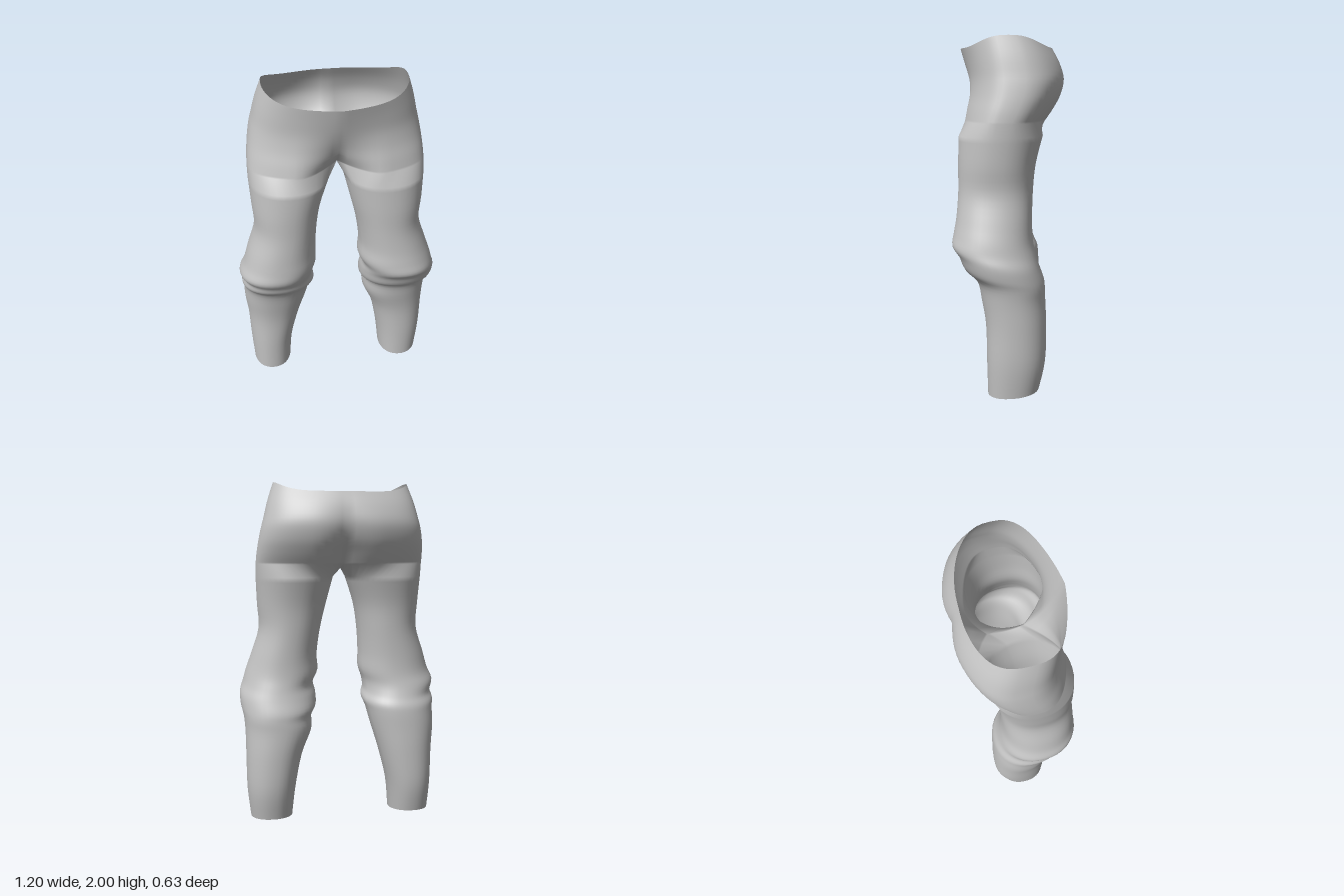
import * as THREE from 'three';
import { mergeVertices } from 'three/addons/utils/BufferGeometryUtils.js';

const K = 36, N = 46;            // points around the outside, and around a whole leg
const CENTRE = -0.008;           // x of the middle seam
const OPEN = THREE.MathUtils.degToRad(70);

// hips, top to crotch: y, half width, front z, back z, front dip, back dip at the seam
const hips = [
  [1.94, 0.392, 0.265, -0.25, -0.02, 0.004],
  [1.86, 0.43, 0.25, -0.295, -0.012, 0.015],
  [1.77, 0.46, 0.24, -0.322, 0.008, 0.035],
  [1.68, 0.48, 0.247, -0.303, 0.055, 0.055],
  [1.6, 0.492, 0.265, -0.26, 0.12, 0.085],
  [1.535, 0.497, 0.277, -0.215, 0.2, 0.1],
];

// legs, thigh to hem: y, outer x, inner x, front z, back z, tilt (front up)
const rightLeg = [
  [1.46, 0.505, 0.05, 0.285, -0.185, 0],
  [1.3, 0.497, 0.105, 0.29, -0.145, 0],
  [1.15, 0.492, 0.13, 0.29, -0.13, 0],
  [1.0, 0.54, 0.14, 0.297, -0.125, 0.01],
  [0.9, 0.57, 0.14, 0.303, -0.13, 0.02],
  [0.83, 0.6, 0.16, 0.305, -0.145, 0.025],
  [0.77, 0.58, 0.165, 0.275, -0.165, 0.03],
  [0.72, 0.592, 0.15, 0.255, -0.187, 0.03],
  [0.66, 0.583, 0.17, 0.195, -0.195, 0.02],
  [0.55, 0.583, 0.2, 0.16, -0.2, 0],
  [0.4, 0.57, 0.245, 0.135, -0.205, 0],
  [0.2, 0.565, 0.295, 0.13, -0.2, 0],
  [0.015, 0.555, 0.315, 0.125, -0.165, -0.015],
];
const leftLeg = [
  [1.46, 0.49, 0.03, 0.285, -0.185, 0],
  [1.3, 0.483, 0.07, 0.29, -0.145, 0],
  [1.15, 0.475, 0.105, 0.29, -0.13, 0],
  [1.0, 0.52, 0.125, 0.3, -0.125, 0.01],
  [0.9, 0.555, 0.12, 0.315, -0.13, 0.02],
  [0.83, 0.575, 0.15, 0.322, -0.145, 0.025],
  [0.77, 0.595, 0.14, 0.285, -0.165, 0.03],
  [0.7, 0.592, 0.14, 0.255, -0.19, 0.03],
  [0.64, 0.578, 0.172, 0.185, -0.197, 0.02],
  [0.55, 0.57, 0.175, 0.16, -0.2, 0],
  [0.4, 0.568, 0.235, 0.135, -0.205, 0],
  [0.2, 0.565, 0.275, 0.13, -0.2, 0],
  [0.015, 0.545, 0.295, 0.125, -0.165, -0.015],
];

// smooth rows between the measured ones
function refine(rows, steps) {
  const out = [];
  const at = (i) => rows[Math.max(0, Math.min(rows.length - 1, i))];
  for (let i = 0; i < rows.length - 1; i++) {
    for (let s = 0; s < steps; s++) {
      const t = s / steps;
      out.push(rows[i].map((p1, c) => {
        const p0 = at(i - 1)[c], p2 = at(i + 1)[c], p3 = at(i + 2)[c];
        return p1 + 0.5 * t * (p2 - p0 + t * (2 * p0 - 5 * p1 + 4 * p2 - p3 + t * (3 * (p1 - p2) + p3 - p0)));
      }));
    }
  }
  out.push(rows[rows.length - 1]);
  return out;
}

const power = (v, e) => Math.sign(v) * Math.abs(v) ** e;

// half of the hips: from the front seam round the side to the back seam
function hipRing([y, w, zf, zb, dipF, dipB]) {
  const ring = [], mid = (zf + zb) / 2, r = (zf - zb) / 2;
  const rim = Math.max(0, (y - 1.8) / 0.14);
  for (let j = 0; j <= K; j++) {
    const a = Math.PI * j / K, s = j === K ? 0 : Math.sin(a), x = w * s;
    let z = mid + r * power(Math.cos(a), 0.76);
    if (a < Math.PI / 2) z -= dipF * Math.max(0, 1 - x / 0.24) ** 1.5;
    else z += dipB * Math.max(0, 1 - x / 0.2) ** 2;
    ring.push([x, y + 0.06 * rim * s ** 5, z]);
  }
  return ring;
}

// closed leg section; the first K points continue the hip half
function legRing([y, xo, xi, zf, zb, tilt]) {
  const ring = [];
  for (let j = 0; j < N; j++) {
    const a = j <= K
      ? -OPEN + (Math.PI + 2 * OPEN) * j / K
      : Math.PI + OPEN + (Math.PI - 2 * OPEN) * (j - K) / (N - K);
    ring.push([
      (xo + xi) / 2 + (xo - xi) / 2 * power(Math.sin(a), 0.93),
      y + tilt * Math.cos(a),
      (zf + zb) / 2 + (zf - zb) / 2 * power(Math.cos(a), 0.93),
    ]);
  }
  return ring;
}

function addSide(side, legRows, positions, indices) {
  const upper = refine(hips, 4).map(hipRing);
  // the crotch seam closes the last hip section into a leg opening
  const last = upper[upper.length - 1];
  const back = last[K], front = last[0];
  for (let j = K + 1; j < N; j++) {
    const t = (j - K) / (N - K);
    last.push([0, back[1] - 0.02 * Math.sin(Math.PI * t), back[2] + (front[2] - back[2]) * t]);
  }
  for (const ring of upper) for (const p of ring) p[0] += side * CENTRE;
  const rings = [...upper, ...refine(legRows, 4).map(legRing)];

  const starts = rings.map((ring) => {
    const start = positions.length / 3;
    for (const [x, y, z] of ring) positions.push(side * x, y, z);
    return start;
  });
  for (let i = 0; i < rings.length - 1; i++) {
    const isLeg = i >= upper.length - 1;
    for (let j = 0; j < (isLeg ? N : K); j++) {
      const k = isLeg ? (j + 1) % N : j + 1;
      const a = starts[i] + j, b = starts[i + 1] + j;
      const c = starts[i + 1] + k, d = starts[i] + k;
      if (side > 0) indices.push(a, b, c, a, c, d);
      else indices.push(a, c, b, a, d, c);
    }
  }
}

export function createModel() {
  const grey = new THREE.MeshStandardMaterial({ color: 0xc2c2c2, side: THREE.DoubleSide });
  grey.name = 'grey cloth';

  const positions = [], indices = [];
  addSide(1, leftLeg, positions, indices);
  addSide(-1, rightLeg, positions, indices);

  let geometry = new THREE.BufferGeometry();
  geometry.setAttribute('position', new THREE.Float32BufferAttribute(positions, 3));
  geometry.setIndex(indices);
  geometry = mergeVertices(geometry, 1e-4);   // joins the halves along the seam
  geometry.computeVertexNormals();

  const trousers = new THREE.Mesh(geometry, grey);
  trousers.name = 'trousers';
  const group = new THREE.Group();
  group.name = 'trousersModel';
  group.add(trousers);
  return group;
}
